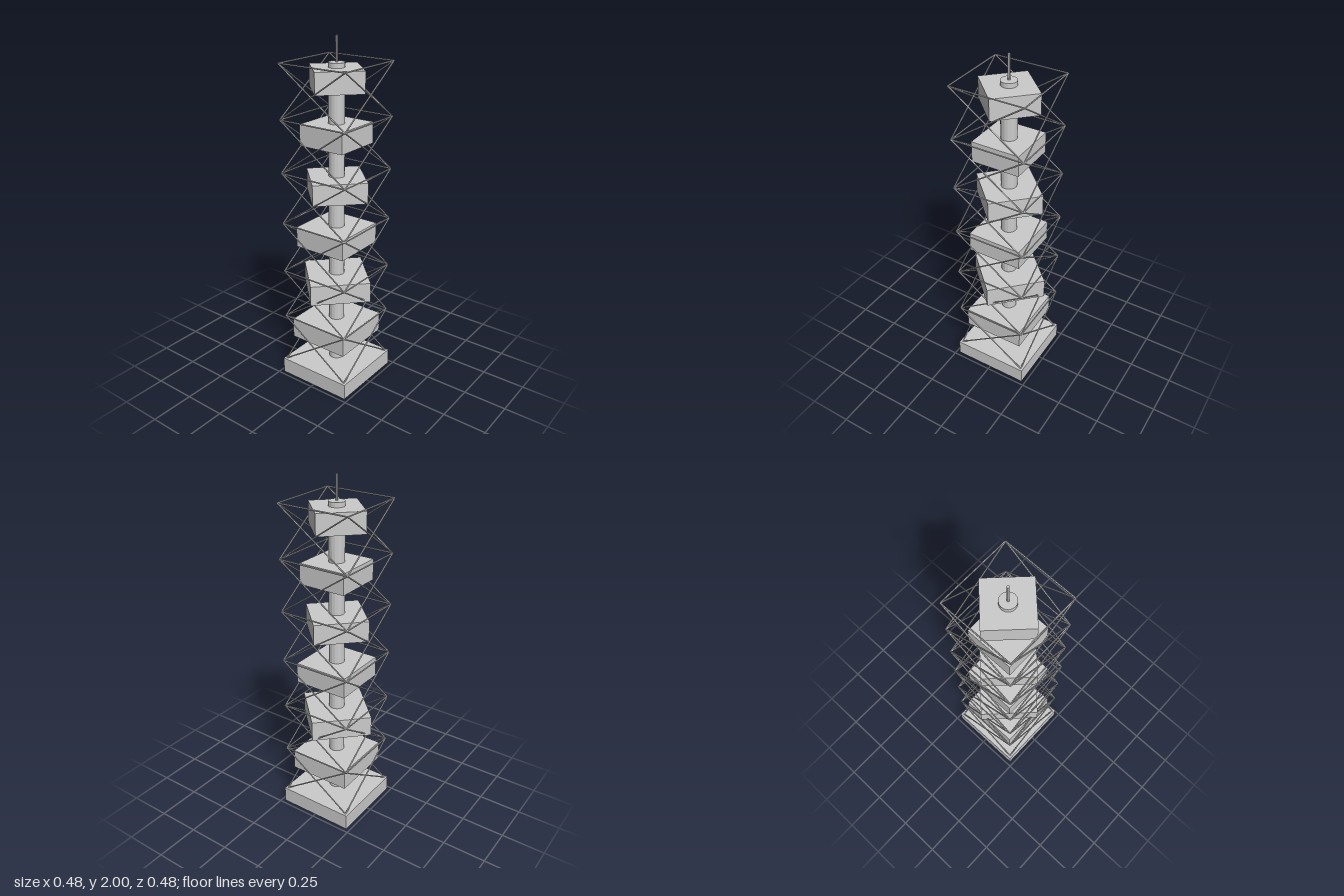
import * as THREE from 'three';

const material = new THREE.MeshStandardMaterial({ color: 0xcccccc, flatShading: true });

function addMesh(parent, name, geometry, x = 0, y = 0, z = 0) {
  const mesh = new THREE.Mesh(geometry, material);
  mesh.name = name;
  mesh.position.set(x, y, z);
  parent.add(mesh);
  return mesh;
}

// Thin round rod between two points
function addRod(parent, name, a, b, radius = 0.004) {
  const dir = b.clone().sub(a);
  const rod = addMesh(parent, name, new THREE.CylinderGeometry(radius, radius, dir.length(), 6));
  rod.position.copy(a).add(b).multiplyScalar(0.5);
  rod.quaternion.setFromUnitVectors(new THREE.Vector3(0, 1, 0), dir.normalize());
}

export function createModel() {
  const tower = new THREE.Group();
  tower.name = 'tower';

  const baseTop = 0.095, storey = 0.295, storeys = 6, half = 0.213;
  const top = baseTop + storey * storeys;

  // Plinth, central core and mast
  addMesh(tower, 'base', new THREE.BoxGeometry(0.456, baseTop, 0.456), 0, baseTop / 2, 0);
  addMesh(tower, 'core', new THREE.CylinderGeometry(0.045, 0.045, top - baseTop, 16), 0, (top + baseTop) / 2, 0);
  addMesh(tower, 'mast', new THREE.CylinderGeometry(0.007, 0.007, 2 - top, 8), 0, (2 + top) / 2, 0);

  const corners = [[1, 1], [1, -1], [-1, -1], [-1, 1]];
  const corner = (i, y) => new THREE.Vector3(corners[i % 4][0] * half, y, corners[i % 4][1] * half);

  for (let s = 0; s < storeys; s++) {
    const low = baseTop + s * storey, high = low + storey;

    // Pods shrink upwards, every second one turned by 45 degrees
    const width = [0.366, 0.34, 0.32, 0.3, 0.28, 0.26][s];
    const pod = addMesh(tower, 'pod', new THREE.BoxGeometry(width, 0.118, width), 0, low + 0.21, 0);
    if (s % 2) pod.rotation.y = Math.PI / 4;

    // Crossed braces on each side and a square ring above them
    const frame = new THREE.Group();
    frame.name = 'braceFrame';
    tower.add(frame);
    for (let i = 0; i < 4; i++) {
      addRod(frame, 'brace', corner(i, low), corner(i + 1, high));
      addRod(frame, 'brace', corner(i + 1, low), corner(i, high));
      addRod(frame, 'ringBar', corner(i, high), corner(i + 1, high));
    }
  }
  return tower;
}
